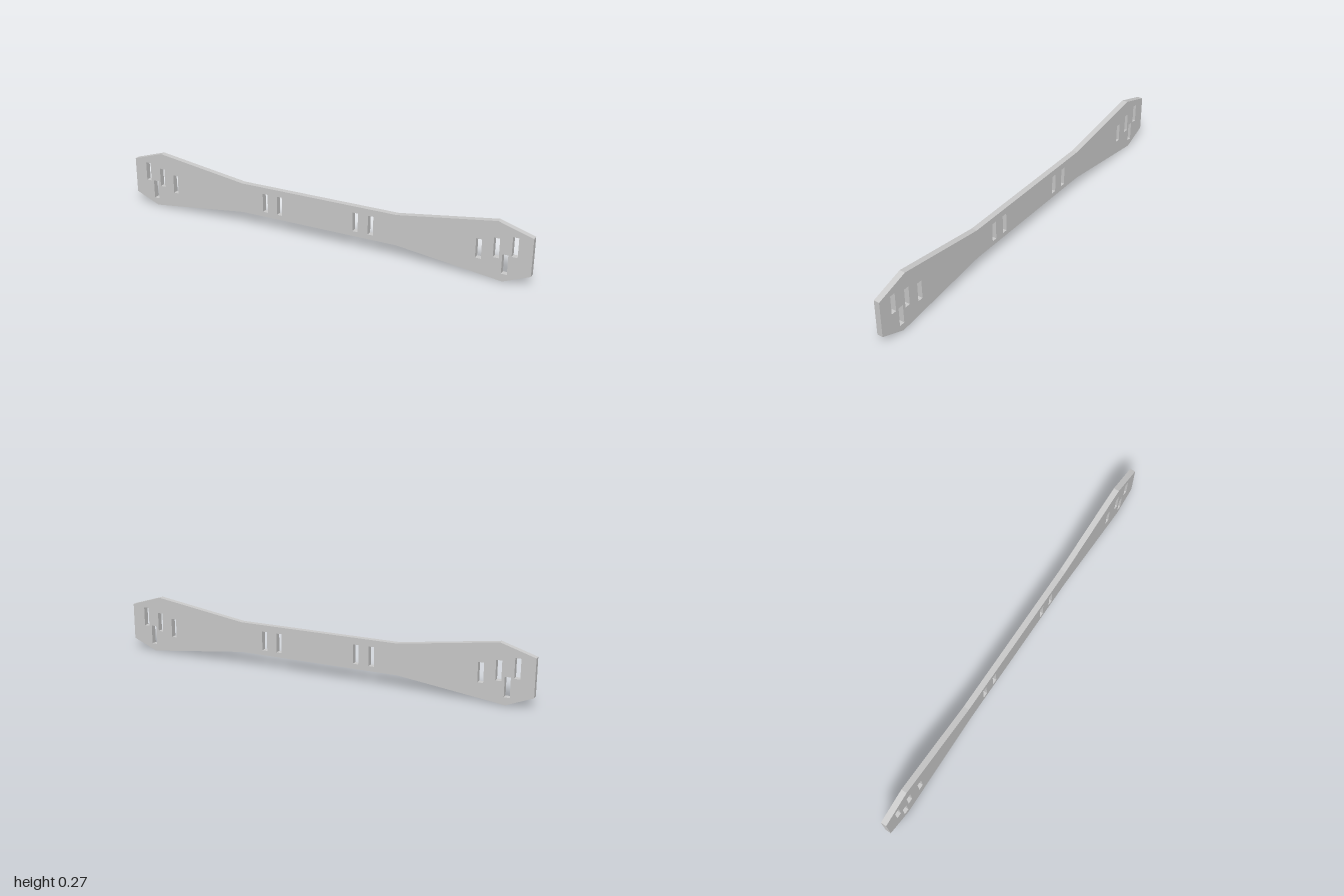
import * as THREE from 'three';

const THICKNESS = 0.027;
const SLOT_W = 0.026, SLOT_H = 0.09;

// Right half of the outline, from the bottom middle round to the top middle
const HALF = [[0.39, 0.06], [0.88, 0], [1, 0.05], [1, 0.222], [0.845, 0.27], [0.39, 0.204]];

// Slot centres on one half
const SLOTS = [[0.193, 0.128], [0.268, 0.128], [0.768, 0.128], [0.845, 0.148], [0.885, 0.08], [0.925, 0.167]];

function slotPath(x, y) {
  const w = SLOT_W / 2, h = SLOT_H / 2;
  return new THREE.Path([[-w, -h], [-w, h], [w, h], [w, -h]].map(([dx, dy]) => new THREE.Vector2(x + dx, y + dy)));
}

export function createModel() {
  const group = new THREE.Group();
  group.name = 'slottedBar';

  // Mirrored outline
  const mirrored = HALF.map(([x, y]) => [-x, y]).reverse();
  const shape = new THREE.Shape([...HALF, ...mirrored].map(([x, y]) => new THREE.Vector2(x, y)));

  // Through slots, mirrored left and right
  for (const [x, y] of SLOTS) {
    for (const side of [-1, 1]) shape.holes.push(slotPath(side * x, y));
  }

  // Flat plate
  const geometry = new THREE.ExtrudeGeometry(shape, { depth: THICKNESS, bevelEnabled: false });
  geometry.translate(0, 0, -THICKNESS / 2);
  const plate = new THREE.Mesh(geometry, new THREE.MeshStandardMaterial({ color: 0xcccccc }));
  plate.name = 'slottedPlate';
  group.add(plate);
  return group;
}
